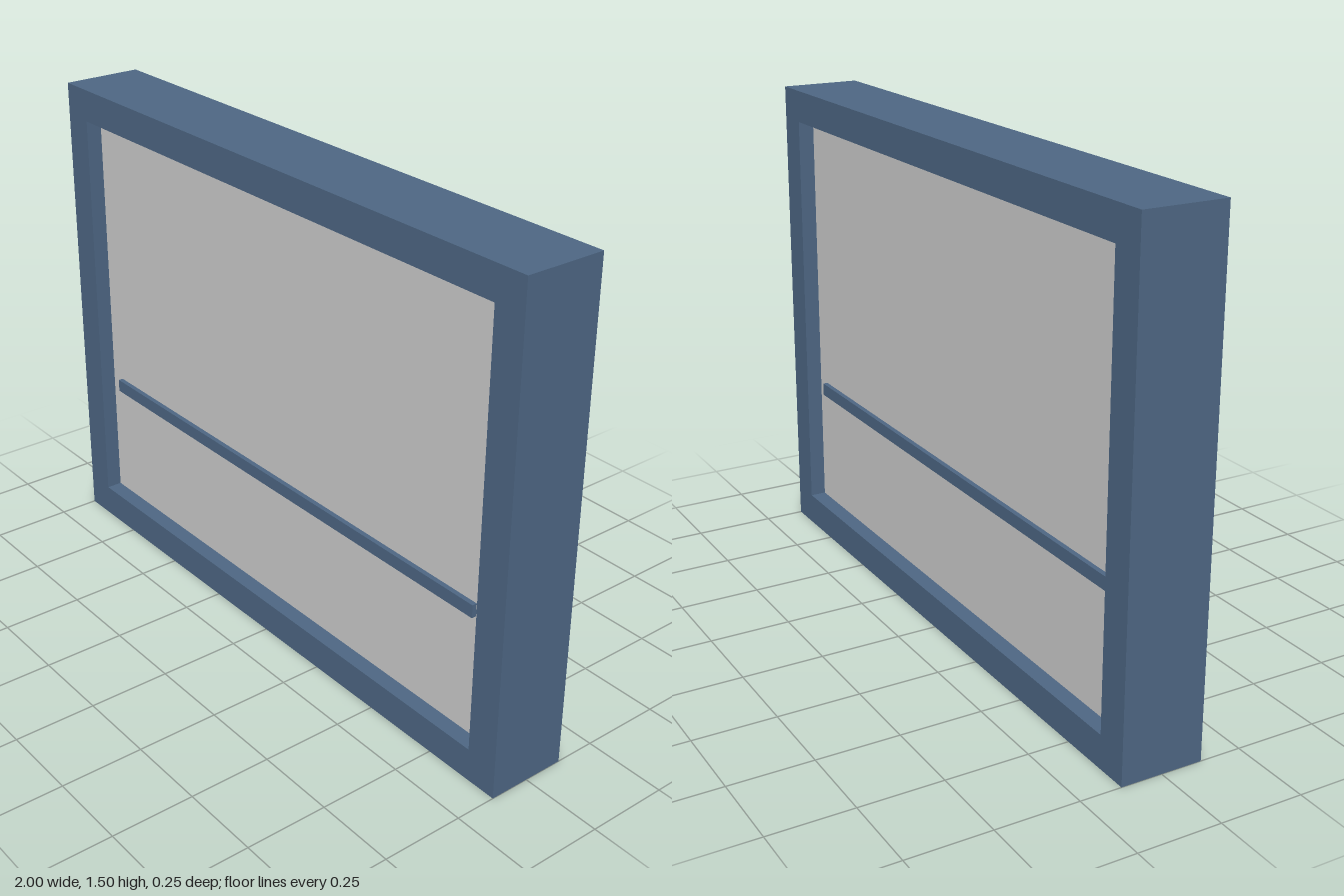
import * as THREE from 'three';

const frameMaterial = new THREE.MeshStandardMaterial({ color: 0x4d6683 });
const paneMaterial = new THREE.MeshStandardMaterial({ color: 0xcccccc });

const WIDTH = 2, HEIGHT = 1.5, DEPTH = 0.25, BORDER = 0.1;

function rectangle(PathType, x, y0, y1) {
  return new PathType([[-x, y0], [x, y0], [x, y1], [-x, y1]].map(p => new THREE.Vector2(...p)));
}

function addPart(group, name, geometry, material, y = 0) {
  const mesh = new THREE.Mesh(geometry, material);
  mesh.name = name;
  mesh.position.y = y;
  group.add(mesh);
}

export function createModel() {
  const group = new THREE.Group();
  group.name = 'framedPanel';

  // Rectangular frame with an open middle
  const outline = rectangle(THREE.Shape, WIDTH / 2, 0, HEIGHT);
  outline.holes.push(rectangle(THREE.Path, WIDTH / 2 - BORDER, BORDER, HEIGHT - BORDER));
  const frame = new THREE.ExtrudeGeometry(outline, { depth: DEPTH, bevelEnabled: false });
  frame.translate(0, 0, -DEPTH / 2);
  addPart(group, 'frame', frame, frameMaterial);

  // Pane recessed equally on the front and back
  const pane = new THREE.BoxGeometry(WIDTH - 2 * BORDER, HEIGHT - 2 * BORDER, 0.15);
  addPart(group, 'pane', pane, paneMaterial, HEIGHT / 2);

  // Thin crossbar standing proud of the pane on both sides
  addPart(group, 'crossbar', new THREE.BoxGeometry(1.7, 0.04, 0.18), frameMaterial, 0.5);

  return group;
}
